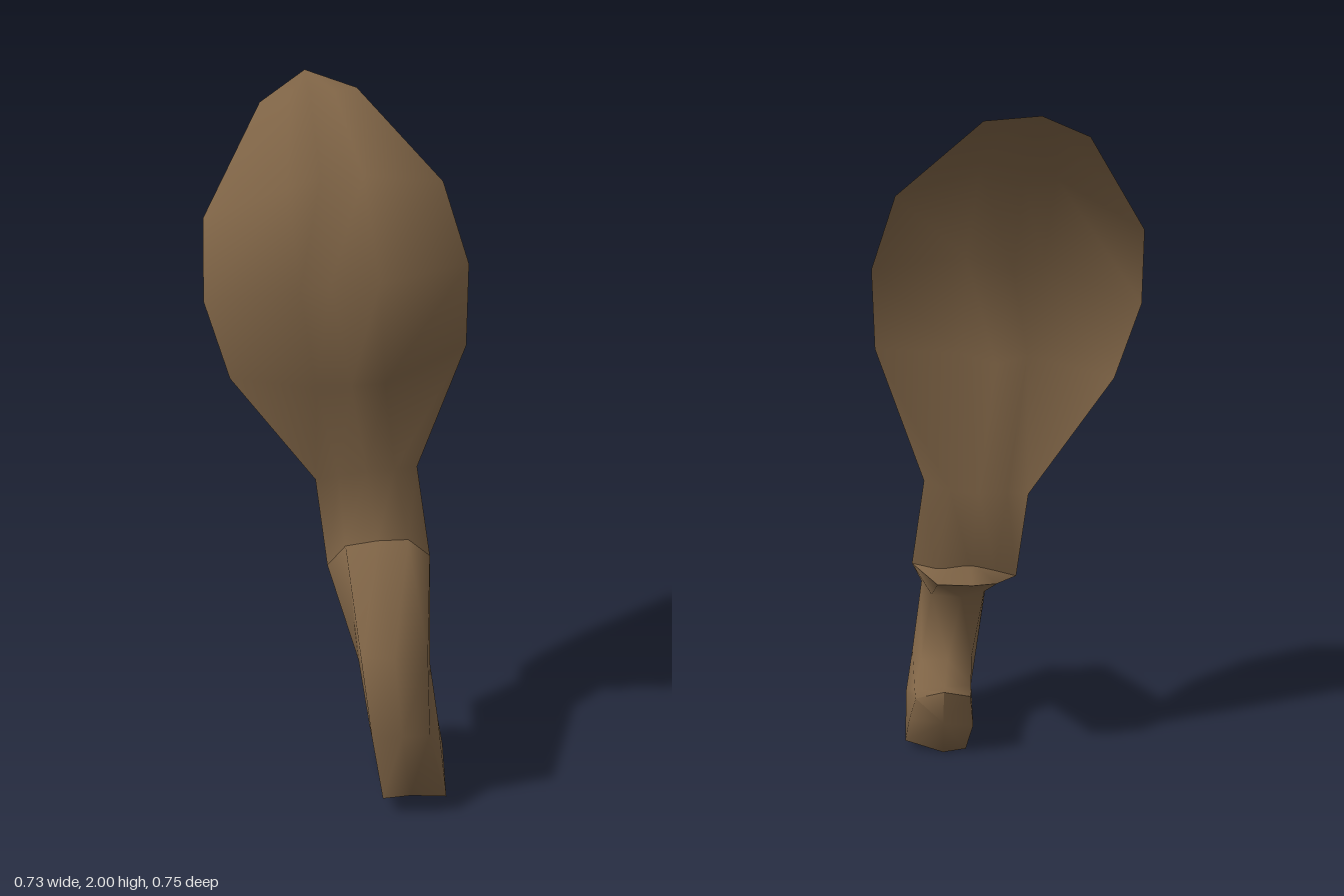
import * as THREE from 'three';
import { toCreasedNormals } from 'three/addons/utils/BufferGeometryUtils.js';

// Each ring runs: left edge, three front points, right edge, three back points.
const ring = (l, f1, f2, f3, r, b1, b2, b3) => [l, f1, f2, f3, r, b1, b2, b3];

// A blade ring: the back follows the grooved front at a small thickness,
// with its own thickness at the middle ridge.
function bladeRing(l, f1, f2, f3, r, t, ridge = t) {
  const behind = ([x, y, z], d) => [x, y - d * 0.3, z - d];
  return ring(l, f1, f2, f3, r, behind(f3, t), behind(f2, ridge), behind(f1, t));
}

// Skins rings listed from bottom to top; optional points close the ends.
function loft(rings, bottom, top) {
  const n = 8;
  const points = rings.flat();
  const index = [];
  for (let i = 0; i < rings.length - 1; i++) {
    for (let j = 0; j < n; j++) {
      const k = (j + 1) % n;
      const a = i * n + j, b = i * n + k, c = b + n, d = a + n;
      // mirrored diagonals keep the thin front and back parallel
      if (j < 4) index.push(a, b, c, a, c, d);
      else index.push(a, b, d, b, c, d);
    }
  }
  const fan = (point, start, flip) => {
    const tip = points.push(point) - 1;
    for (let j = 0; j < n; j++) {
      const a = start + j, b = start + (j + 1) % n;
      index.push(...(flip ? [b, a, tip] : [a, b, tip]));
    }
  };
  if (bottom) fan(bottom, 0, true);
  if (top) fan(top, (rings.length - 1) * n, false);
  const geometry = new THREE.BufferGeometry();
  geometry.setAttribute('position', new THREE.Float32BufferAttribute(points.flat(), 3));
  geometry.setIndex(index);
  return toCreasedNormals(geometry, 1.7);
}

export function createModel() {
  const group = new THREE.Group();
  group.name = 'bladeOnBentStalk';
  const brown = new THREE.MeshStandardMaterial({ color: 0x7f6446 });
  brown.name = 'brown';

  // Stalk: foot end, sole, ankle, knee, fold under the neck
  const stalkRings = [
    ring([0.09, 0.1, 0.01], [0.11, 0.005, 0.04], [0.18, 0.003, 0.032], [0.29, 0.03, 0.07],
      [0.28, 0.12, 0.035], [0.262, 0.21, 0], [0.18, 0.235, -0.02], [0.1, 0.21, -0.01]),
    ring([0.075, 0.13, 0.2], [0.075, 0.055, 0.34], [0.15, 0.075, 0.365], [0.257, 0.055, 0.355],
      [0.275, 0.13, 0.2], [0.26, 0.21, 0.06], [0.17, 0.215, 0.05], [0.09, 0.21, 0.06]),
    ring([0.05, 0.24, 0.25], [0.045, 0.25, 0.32], [0.13, 0.25, 0.33], [0.21, 0.25, 0.33],
      [0.25, 0.25, 0.24], [0.23, 0.25, 0.165], [0.15, 0.25, 0.155], [0.075, 0.25, 0.17]),
    ring([0.015, 0.47, 0.26], [0.007, 0.53, 0.357], [0.1, 0.525, 0.362], [0.19, 0.53, 0.375],
      [0.215, 0.46, 0.28], [0.19, 0.44, 0.22], [0.1, 0.43, 0.21], [0.03, 0.44, 0.22]),
    ring([-0.03, 0.615, -0.05], [0.01, 0.72, 0.04], [0.1, 0.735, 0.05], [0.19, 0.735, 0.055],
      [0.265, 0.65, 0], [0.2, 0.615, -0.08], [0.1, 0.61, -0.09], [0.03, 0.61, -0.085]),
  ];
  const stalk = new THREE.Mesh(loft(stalkRings, [0.18, 0.12, 0], [0.1, 0.66, -0.03]), brown);
  stalk.name = 'stalk';
  group.add(stalk);

  // Neck, sunk into the fold, and cupped blade with a groove down the front
  const bladeRings = [
    ring([-0.03, 0.615, -0.05], [0.01, 0.72, 0.04], [0.1, 0.735, 0.05], [0.19, 0.735, 0.055],
      [0.265, 0.65, 0], [0.2, 0.645, -0.035], [0.1, 0.64, -0.04], [0.03, 0.63, -0.045]),
    ring([-0.06, 0.88, -0.08], [0, 0.91, -0.03], [0.08, 0.92, -0.025], [0.16, 0.93, -0.01],
      [0.23, 0.92, -0.04], [0.16, 0.9, -0.075], [0.08, 0.89, -0.085], [0, 0.89, -0.085]),
    bladeRing([-0.3, 1.21, -0.07], [-0.08, 1.24, 0.11], [0.015, 1.24, 0.11], [0.105, 1.25, 0.13], [0.355, 1.3, 0], 0.025, 0.06),
    bladeRing([-0.365, 1.43, -0.1], [-0.12, 1.51, 0.09], [-0.03, 1.51, 0.04], [0.09, 1.53, 0.115], [0.36, 1.53, -0.02], 0.02, 0.03),
    bladeRing([-0.355, 1.65, -0.157], [-0.14, 1.77, 0], [-0.045, 1.78, -0.05], [0.06, 1.8, 0.02], [0.297, 1.745, -0.09], 0.02),
    bladeRing([-0.18, 1.93, -0.3], [-0.1, 1.95, -0.265], [-0.045, 1.955, -0.265], [0.02, 1.965, -0.255], [0.085, 1.97, -0.265], 0.015),
  ];
  const blade = new THREE.Mesh(loft(bladeRings, null, [-0.045, 2, -0.375]), brown);
  blade.name = 'blade';
  group.add(blade);

  return group;
}
